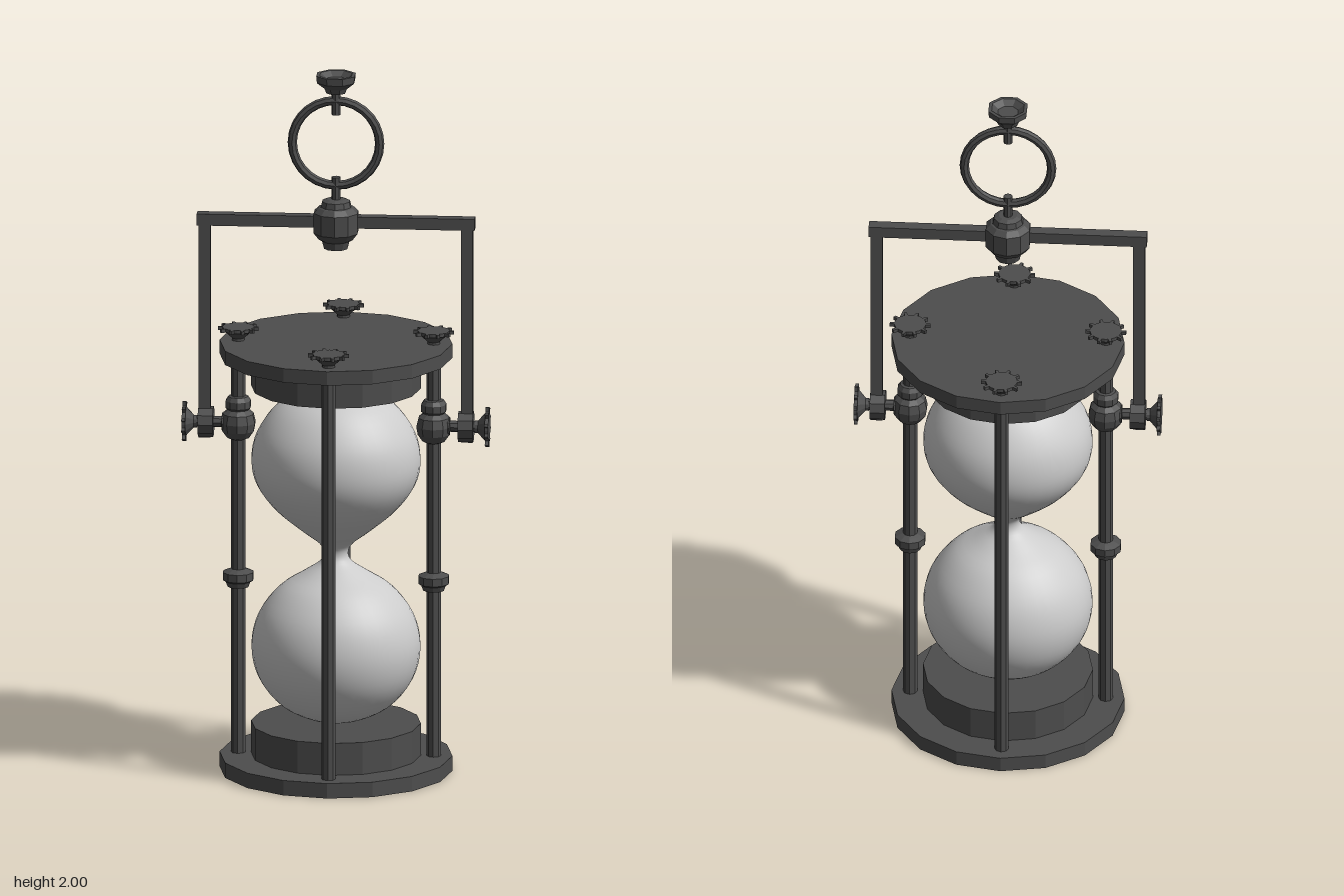
import * as THREE from 'three';

const metal = new THREE.MeshStandardMaterial({ color: 0x4d4d4d, flatShading: true, side: THREE.DoubleSide });
const glass = new THREE.MeshStandardMaterial({ color: 0xcccccc, side: THREE.DoubleSide });

function add(parent, name, geometry, x = 0, y = 0, z = 0, material = metal) {
  const mesh = new THREE.Mesh(geometry, material);
  mesh.name = name;
  mesh.position.set(x, y, z);
  parent.add(mesh);
  return mesh;
}

const lathe = (profile, sides) =>
  new THREE.LatheGeometry(profile.map(([r, y]) => new THREE.Vector2(r, y)), sides);

// upright cylinder between two heights
const column = (r, y0, y1, sides) =>
  new THREE.CylinderGeometry(r, r, y1 - y0, sides).translate(0, (y0 + y1) / 2, 0);

// thin toothed disc lying flat, base at y = 0
function toothedDisc(inner, outer, teeth, thickness) {
  const shape = new THREE.Shape();
  const step = (Math.PI * 2) / teeth;
  for (let i = 0; i < teeth; i++) {
    [[-0.5, inner], [-0.17, inner], [-0.11, outer], [0.11, outer], [0.17, inner]].forEach(([f, r], k) => {
      const a = (i + f) * step;
      shape[i + k === 0 ? 'moveTo' : 'lineTo'](r * Math.cos(a), r * Math.sin(a));
    });
  }
  return new THREE.ExtrudeGeometry(shape, { depth: thickness, bevelEnabled: false }).rotateX(-Math.PI / 2);
}

// flared thumbscrew pointing up
function thumbscrew(name) {
  const screw = new THREE.Group();
  screw.name = name;
  add(screw, 'screwNeck', lathe([[0, 0], [0.018, 0], [0.018, 0.009], [0.028, 0.018], [0.042, 0.031], [0, 0.031]], 12));
  add(screw, 'screwTeeth', toothedDisc(0.044, 0.057, 10, 0.01), 0, 0.03, 0);
  return screw;
}

export function createModel() {
  const model = new THREE.Group();
  model.name = 'hourglass';

  // end plates and the cups that hold the glass
  add(model, 'basePlate', column(0.325, 0, 0.043, 16));
  add(model, 'baseCup', column(0.237, 0.043, 0.135, 16));
  add(model, 'topCup', column(0.237, 1.1, 1.19, 16));
  add(model, 'topPlate', column(0.325, 1.19, 1.23, 16));

  // glass with two bulbs and a narrow neck
  const curve = new THREE.SplineCurve([
    [0, 0.135], [0.075, 0.149], [0.155, 0.19], [0.215, 0.265], [0.236, 0.355], [0.216, 0.445],
    [0.16, 0.52], [0.09, 0.567], [0.045, 0.598], [0.034, 0.625], [0.048, 0.652], [0.1, 0.692],
    [0.17, 0.752], [0.22, 0.82], [0.236, 0.89], [0.22, 0.968], [0.165, 1.045], [0.085, 1.09], [0, 1.105],
  ].map(([r, y]) => new THREE.Vector2(r, y)));
  const glassShape = new THREE.LatheGeometry(curve.getPoints(72).map((p) => p.setX(Math.max(0, p.x))), 40);
  add(model, 'glass', glassShape, 0, 0, 0, glass).scale.z = 0.945;

  // four rods, each with a thumbscrew on the top plate
  for (let i = 0; i < 4; i++) {
    const x = 0.273 * Math.round(Math.cos(i * Math.PI / 2));
    const z = 0.273 * Math.round(Math.sin(i * Math.PI / 2));
    add(model, 'rod', column(0.02, 0.04, 1.2, 8), x, 0, z);
    const screw = thumbscrew('topThumbscrew');
    screw.position.set(x, 1.228, z);
    model.add(screw);
  }

  // side fittings, mirrored left and right
  for (const side of [1, -1]) {
    const x = 0.273 * side;
    add(model, 'rodCollar', lathe([[0.02, 0.52], [0.03, 0.52], [0.036, 0.535], [0.044, 0.54],
      [0.044, 0.562], [0.03, 0.568], [0.02, 0.572]], 10), x);
    add(model, 'pivotBall', lathe([[0.02, 0.945], [0.032, 0.95], [0.046, 0.97], [0.05, 0.993], [0.044, 1.018],
      [0.03, 1.03], [0.036, 1.036], [0.036, 1.056], [0.028, 1.068], [0.02, 1.07]], 10), x);

    // pivot lying along x, with the yoke boss and outer knob
    const pivot = new THREE.Group();
    pivot.name = 'pivot';
    pivot.position.set(0, 0.993, 0);
    pivot.rotation.z = -side * Math.PI / 2;
    model.add(pivot);
    add(pivot, 'axle', column(0.016, 0.29, 0.4, 8));
    add(pivot, 'axleCollar', column(0.026, 0.3, 0.318, 10));
    add(pivot, 'yokeBoss', column(0.043, 0.342, 0.384, 10));
    const knob = thumbscrew('sideKnob');
    knob.position.y = 0.388;
    pivot.add(knob);

    add(model, 'yokeArm', new THREE.BoxGeometry(0.033, 0.64, 0.028), 0.366 * side, 1.27, 0);
  }

  // yoke crossbar and its central hub
  add(model, 'yokeBar', new THREE.BoxGeometry(0.776, 0.033, 0.032), 0, 1.578, 0);
  add(model, 'yokeHub', lathe([[0, 1.5], [0.034, 1.5], [0.04, 1.522], [0.05, 1.528], [0.064, 1.546], [0.064, 1.604],
    [0.05, 1.618], [0.044, 1.62], [0.04, 1.636], [0.026, 1.642], [0, 1.642]], 10));

  // hanging ring held by two short lugs
  add(model, 'ring', new THREE.TorusGeometry(0.122, 0.013, 8, 28), 0, 1.803, 0);
  add(model, 'lowerLug', column(0.013, 1.635, 1.705, 8));
  add(model, 'upperLug', column(0.013, 1.885, 1.96, 8));

  // flared cap with a hollow top
  add(model, 'hangerCap', lathe([[0, 1.948], [0.028, 1.948], [0.034, 1.962], [0.056, 1.98], [0.058, 2],
    [0.048, 2], [0.03, 1.986], [0, 1.986]], 8)).rotation.y = Math.PI / 8;

  return model;
}
